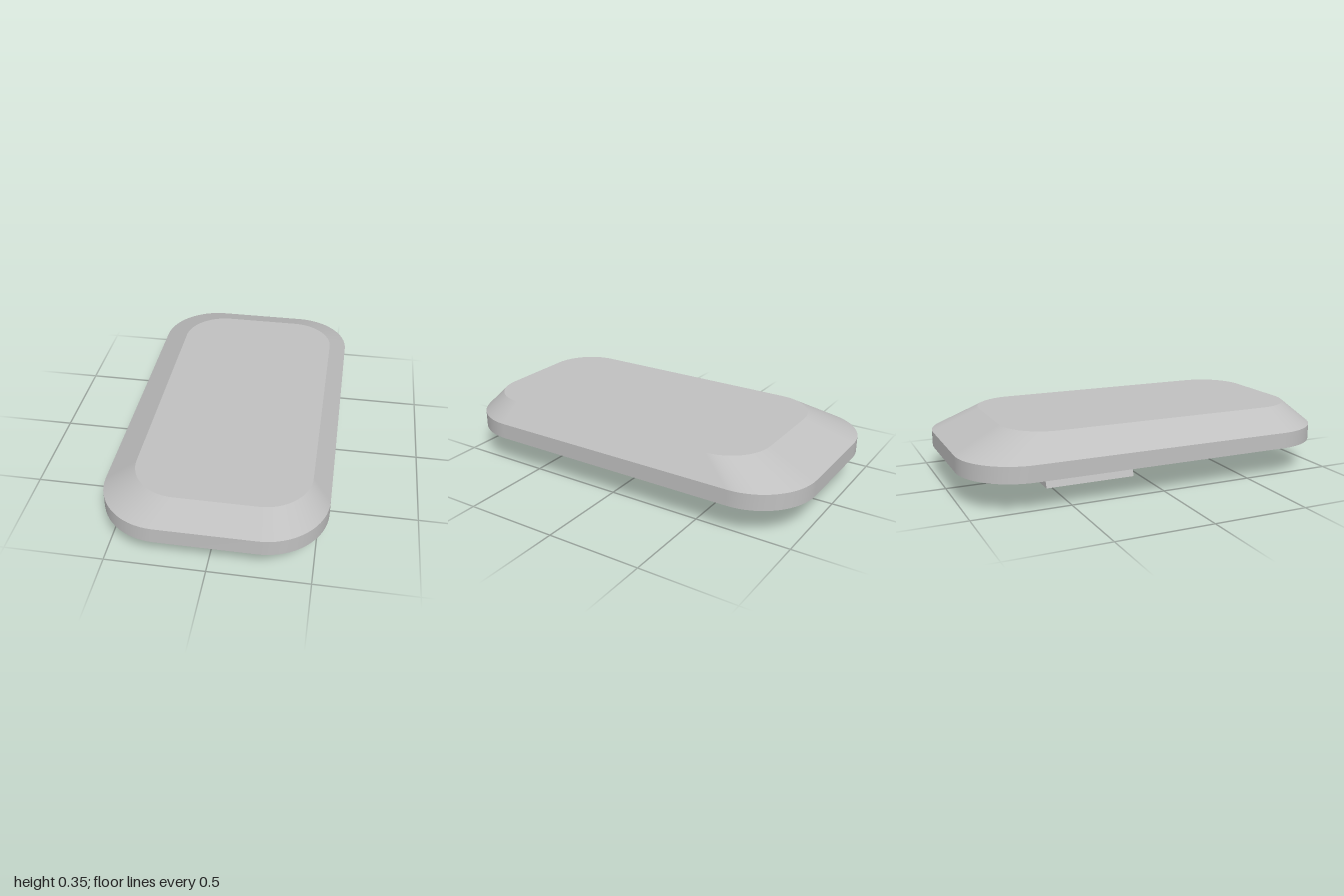
import * as THREE from 'three';

const STEPS = 16;

// Rounded rectangle loop at height y, running from +x towards +z
function ring(y, x0, x1, z0, z1, r) {
  const corners = [[x1 - r, z1 - r], [x0 + r, z1 - r], [x0 + r, z0 + r], [x1 - r, z0 + r]];
  const points = [];
  corners.forEach(([cx, cz], q) => {
    for (let i = 0; i <= STEPS; i++) {
      const a = (q + i / STEPS) * Math.PI / 2;
      points.push([cx + r * Math.cos(a), y, cz + r * Math.sin(a)]);
    }
  });
  return points;
}

function build(points, index) {
  const geometry = new THREE.BufferGeometry();
  geometry.setAttribute('position', new THREE.Float32BufferAttribute(points.flat(), 3));
  geometry.setIndex(index);
  geometry.computeVertexNormals();
  return geometry;
}

// Smooth wall between two loops
function band(low, high) {
  const n = low.length, index = [];
  for (let i = 0; i < n; i++) {
    const j = (i + 1) % n;
    index.push(i, n + i, j, j, n + i, n + j);
  }
  return build([...low, ...high], index);
}

// Flat face filling a loop
function cap(loop, up) {
  const n = loop.length, index = [];
  for (let i = 0; i < n; i++) {
    const j = (i + 1) % n;
    index.push(n, up ? j : i, up ? i : j);
  }
  return build([...loop, [0, loop[0][1], 0]], index);
}

export function createModel() {
  const model = new THREE.Group();
  model.name = 'roundedPlate';
  const grey = new THREE.MeshStandardMaterial({ color: 0xc0c0c0 });
  grey.name = 'light grey';
  const add = (name, geometry) => {
    const mesh = new THREE.Mesh(geometry, grey);
    mesh.name = name;
    model.add(mesh);
    return mesh;
  };

  // Plate with an off-centre bevelled top
  const bottom = ring(0.157, -0.553, 0.553, -1, 1, 0.31);
  const rim = ring(0.241, -0.553, 0.553, -1, 1, 0.31);
  const top = ring(0.35, -0.396, 0.463, -0.75, 0.89, 0.23);
  add('underside', cap(bottom, false));
  add('rim', band(bottom, rim));
  add('bevel', band(rim, top));
  add('topFace', cap(top, true));

  // Flared foot underneath
  const profile = new THREE.Shape([[-0.215, 0], [0.211, 0], [0.162, 0.157], [-0.165, 0.157]]
    .map(([x, y]) => new THREE.Vector2(x, y)));
  const foot = add('foot', new THREE.ExtrudeGeometry(profile, { depth: 0.495, bevelEnabled: false }));
  foot.position.z = -0.53;

  return model;
}
